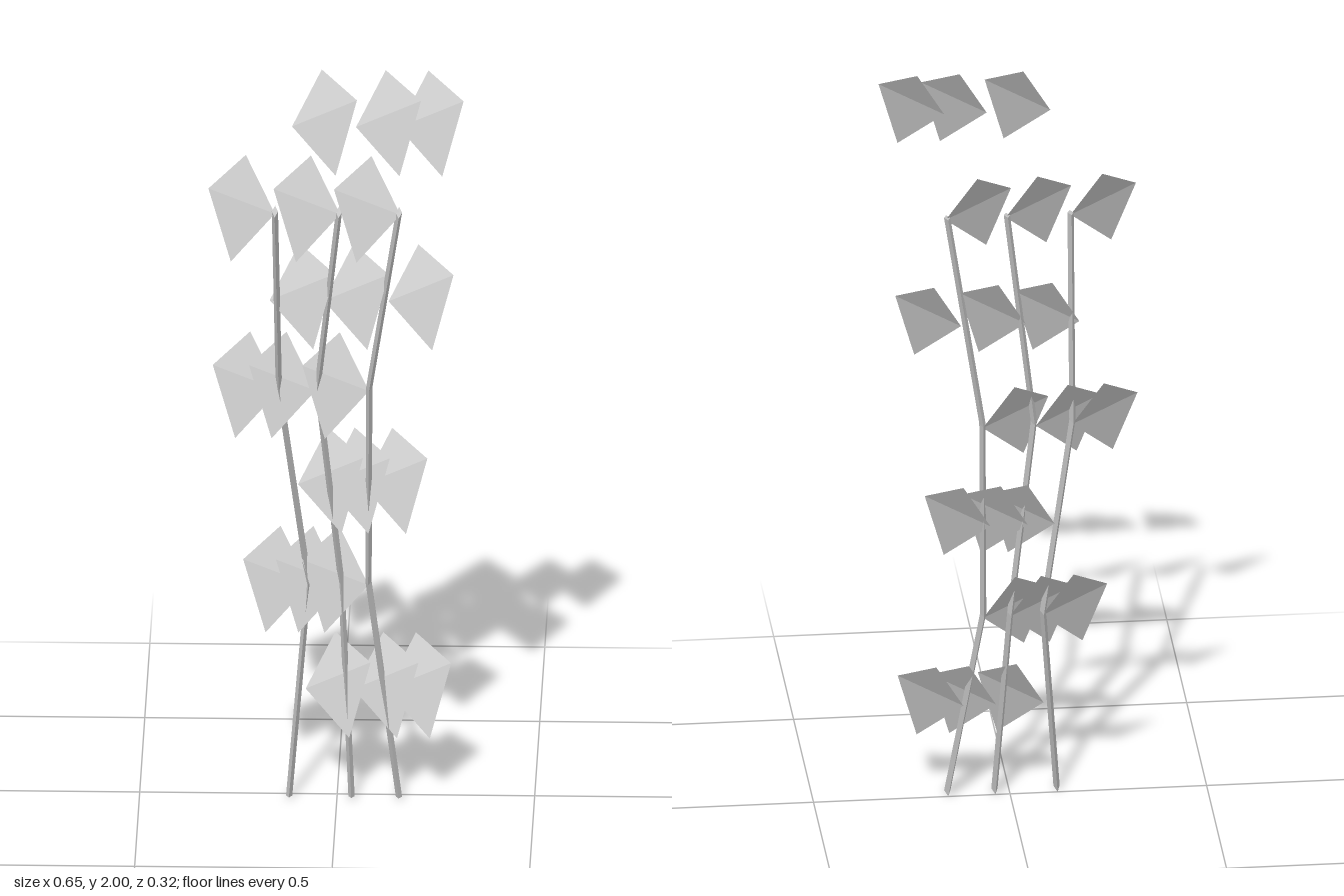
import * as THREE from 'three';

const grey = new THREE.MeshStandardMaterial({ color: 0xc8c8c8, flatShading: true, side: THREE.DoubleSide });
grey.name = 'pale grey';

// Stem: a thin diamond prism bent through four rings
const ringY = [0.008, 0.55, 1.08, 1.604];
const ringZ = [0.027, -0.085, -0.085, 0.03];
function stemGeometry(ringX) {
  const geo = new THREE.CylinderGeometry(1, 1, 1, 4, 3).toNonIndexed();
  const p = geo.attributes.position;
  for (let i = 0; i < p.count; i++) {
    const ring = Math.round((p.getY(i) + 0.5) * 3);
    const tilt = ring === 0 ? 0.2 : ring === 3 ? -0.2 : 0;
    const z = p.getZ(i) * 0.027;
    p.setXYZ(i, ringX[ring] + p.getX(i) * 0.008, ringY[ring] + z * tilt, ringZ[ring] + z);
  }
  geo.computeVertexNormals();
  return geo;
}

// Leaf: a four-cornered blade folded along its left-right diagonal
function leafGeometry(left, top, right, bottom) {
  const geo = new THREE.BufferGeometry();
  const corners = [left, bottom, right, left, right, top].flat();
  geo.setAttribute('position', new THREE.Float32BufferAttribute(corners, 3));
  geo.computeVertexNormals();
  return geo;
}

const outerLeaf = leafGeometry(
  [-0.112, 1.863, 0.094], [-0.038, 1.998, 0.041], [0.053, 1.945, 0.116], [0, 1.757, 0.162]);
const innerLeaf = leafGeometry(
  [-0.325, 1.672, 0.046], [-0.232, 1.735, -0.027], [-0.157, 1.598, 0.03], [-0.267, 1.493, 0.096]);

// Leaf tiers: sideways shift for each stem, then drop and depth shift
const outerTiers = [
  { x: [0, 0.162, 0.27], y: 0, z: 0 },
  { x: [-0.06, 0.077, 0.241], y: -0.53, z: -0.135 },
  { x: [0.01, 0.078, 0.173], y: -1.06, z: -0.204 },
  { x: [0.031, 0.152, 0.235], y: -1.59, z: -0.135 },
];
const innerTiers = [
  { x: [0, 0.165, 0.318], y: 0, z: 0 },
  { x: [0.008, 0.1, 0.235], y: -0.53, z: -0.118 },
  { x: [0.085, 0.168, 0.234], y: -1.06, z: -0.118 },
];

export function createModel() {
  const model = new THREE.Group();
  model.name = 'leafyStalks';

  const stemPaths = [
    [-0.121, -0.075, -0.15, -0.157],
    [0.037, 0.008, -0.052, 0.005],
    [0.157, 0.077, 0.079, 0.157],
  ];
  stemPaths.forEach((path, i) => {
    const stem = new THREE.Mesh(stemGeometry(path), grey);
    stem.name = `stem${i + 1}`;
    model.add(stem);
  });

  const addLeaves = (name, geometry, tiers) => {
    tiers.forEach((tier, t) => tier.x.forEach((x, i) => {
      const leaf = new THREE.Mesh(geometry, grey);
      leaf.name = `${name}Tier${t + 1}Stem${i + 1}`;
      leaf.position.set(x, tier.y, tier.z);
      model.add(leaf);
    }));
  };
  addLeaves('outerLeaf', outerLeaf, outerTiers);
  addLeaves('innerLeaf', innerLeaf, innerTiers);
  return model;
}
